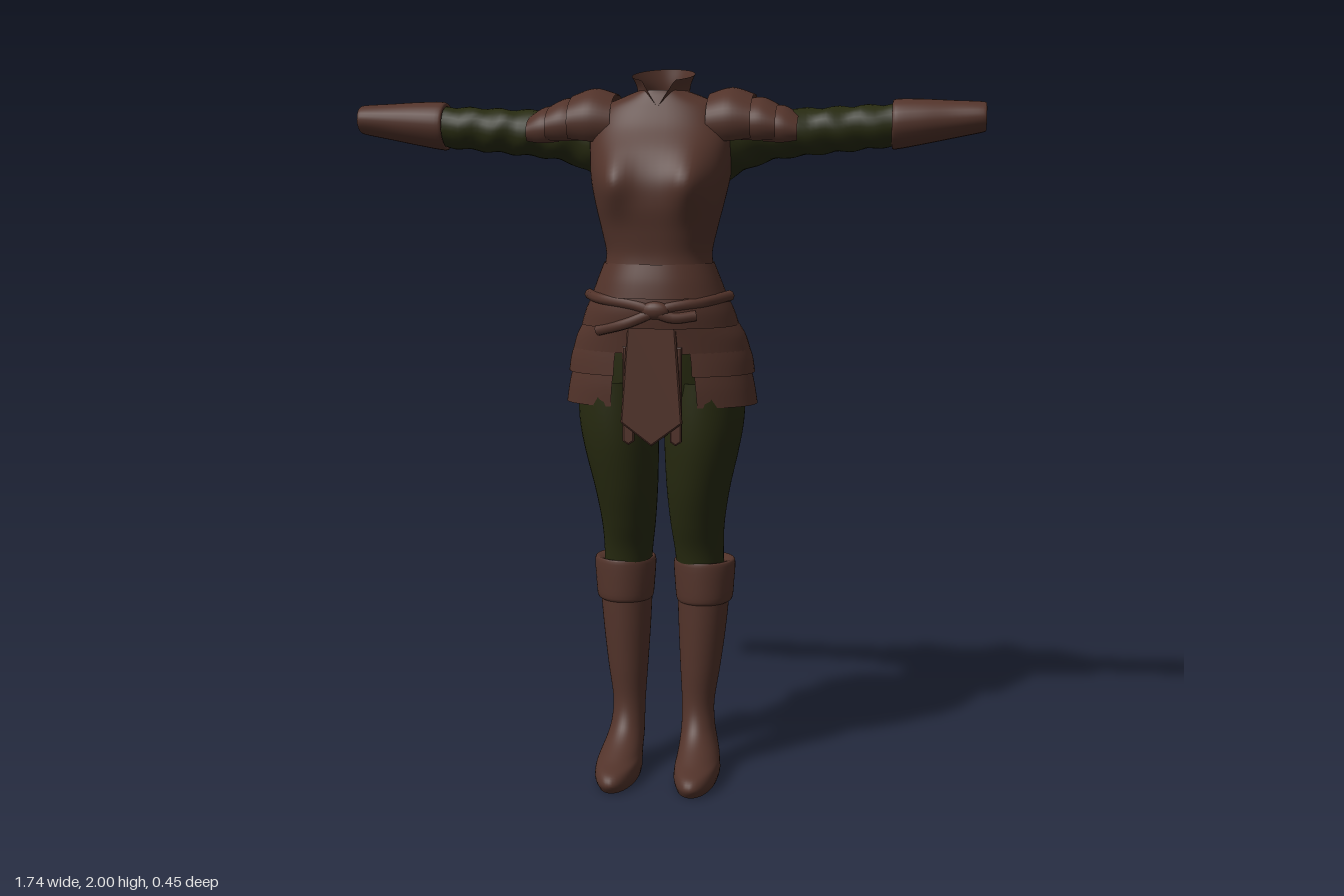
import * as THREE from 'three';

const leather = new THREE.MeshStandardMaterial({ color: 0x52332a, side: THREE.DoubleSide });
leather.name = 'brown leather';
const cloth = new THREE.MeshStandardMaterial({ color: 0x272a10, side: THREE.DoubleSide });
cloth.name = 'dark green cloth';

// Cross-section plane for each loft axis: (u, position, v) -> xyz
const ALONG = {
  x: (u, p, v) => [p, v, u],
  y: (u, p, v) => [u, p, v],
};

const curve = (a, b, c, d, t) =>
  0.5 * (2 * b + (c - a) * t + (2 * a - 5 * b + 4 * c - d) * t * t + (3 * b - a - 3 * c + d) * t * t * t);

// Smooth skin through rings [position, uMin, uMax, vMin, vMax]
function loft(rings, { axis = 'y', seg = 40, steps = 5, pow = 1, arc = null, warp = null, hole = null, capStart = false } = {}) {
  const pos = [], idx = [];
  const rows = (rings.length - 1) * steps + 1;
  const cols = arc ? seg + 1 : seg;
  const [a0, a1] = arc ? arc.map(THREE.MathUtils.degToRad) : [0, Math.PI * 2];
  const soft = (s) => Math.sign(s) * Math.abs(s) ** pow;
  const at = (i) => rings[Math.max(0, Math.min(rings.length - 1, i))];
  for (let r = 0; r < rows; r++) {
    const i = Math.min(Math.floor(r / steps), rings.length - 2);
    const t = r / steps - i;
    const [p, u0, u1, v0, v1] = at(i).map((_, k) => curve(at(i - 1)[k], at(i)[k], at(i + 1)[k], at(i + 2)[k], t));
    for (let c = 0; c < cols; c++) {
      const a = a0 + (a1 - a0) * c / seg;
      const q = ALONG[axis]((u0 + u1) / 2 + (u1 - u0) / 2 * soft(Math.cos(a)), p, (v0 + v1) / 2 + (v1 - v0) / 2 * soft(Math.sin(a)));
      pos.push(...(warp ? warp(...q) : q));
    }
  }
  for (let r = 0; r < rows - 1; r++) {
    for (let c = 0; c < seg; c++) {
      const a = r * cols + c, b = r * cols + (c + 1) % cols;
      if (hole && hole(pos[a * 3], pos[a * 3 + 1], pos[a * 3 + 2])) continue;
      idx.push(a, a + cols, b, b, a + cols, b + cols);
    }
  }
  if (capStart) {
    const base = pos.length / 3, [p, u0, u1, v0, v1] = rings[0];
    pos.push(...pos.slice(0, cols * 3), ...ALONG[axis]((u0 + u1) / 2, p, (v0 + v1) / 2));
    for (let c = 0; c < seg; c++) idx.push(base + c, base + (c + 1) % cols, base + cols);
  }
  const g = new THREE.BufferGeometry();
  g.setAttribute('position', new THREE.Float32BufferAttribute(pos, 3));
  g.setIndex(idx);
  g.computeVertexNormals();
  return g;
}

// Ring centred on x = 0: [y, halfWidth, back, front]
const centred = (rings) => rings.map(([y, w, b, f]) => [y, -w, w, b, f]);

// Hanging pointed strip, its top edge at (x, y, z)
function strip(topW, lowW, len, point, [x, y, z], tilt = 0, yaw = 0) {
  const s = new THREE.Shape([[-topW, 0], [-lowW, point - len], [0, -len], [lowW, point - len], [topW, 0]]
    .map(([px, py]) => new THREE.Vector2(px, py)));
  const g = new THREE.ExtrudeGeometry(s, { depth: 0.008, bevelEnabled: true, bevelSize: 0.004, bevelThickness: 0.003, bevelSegments: 1 });
  g.rotateX(tilt).rotateY(yaw).translate(x, y, z);
  return g;
}

function mirrored(g) {
  const m = (g.index ? g.toNonIndexed() : g.clone()).scale(-1, 1, 1);
  for (const name of ['position', 'normal']) {
    const a = m.attributes[name].array;
    for (let i = 0; i < a.length; i += 9) {
      for (let k = 0; k < 3; k++) [a[i + 3 + k], a[i + 6 + k]] = [a[i + 6 + k], a[i + 3 + k]];
    }
  }
  return m;
}

export function createModel() {
  const model = new THREE.Group();
  model.name = 'leatherArmourOutfit';
  const add = (name, geometry, material = leather) => {
    const mesh = new THREE.Mesh(geometry, material);
    mesh.name = name;
    model.add(mesh);
  };
  const both = (name, geometry, material = leather) => {
    add('left' + name, geometry, material);
    add('right' + name, mirrored(geometry), material);
  };

  // Breastplate, with open armholes and neck
  add('breastplate', loft(centred([
    [1.45, 0.150, -0.102, 0.182], [1.50, 0.143, -0.11, 0.178], [1.56, 0.155, -0.122, 0.185], [1.63, 0.172, -0.148, 0.195],
    [1.70, 0.187, -0.167, 0.190], [1.77, 0.195, -0.173, 0.158], [1.84, 0.198, -0.172, 0.105],
    [1.89, 0.175, -0.165, 0.075], [1.92, 0.11, -0.15, 0.06], [1.935, 0.07, -0.132, 0.055],
  ]), {
    seg: 72, steps: 6, pow: 0.8,
    warp: (x, y, z) => [x, y, z + (z > 0.02 ? 0.036 * Math.exp(-(((Math.abs(x) - 0.105) / 0.05) ** 2) - ((y - 1.69) / 0.075) ** 2) : 0)],
    hole: (x, y, z) => Math.abs(x) > 0.1 && Math.hypot(y - 1.85, z + 0.06) < 0.05,
  }));

  // Standing collar with a V notch, higher at the back
  add('collar', loft(centred([
    [1.86, 0.09, -0.150, 0.092], [1.91, 0.074, -0.138, 0.068], [1.945, 0.072, -0.134, 0.06], [1.98, 0.086, -0.138, 0.073],
  ]), {
    seg: 64,
    warp: (x, y, z) => {
      const t = (y - 1.86) / 0.12;
      const notch = z > 0 ? Math.max(0, 1 - Math.abs(x) / 0.045) : 0;
      return [x, y - t * (0.2 * (z + 0.035) + 0.07 * notch), z];
    },
  }));

  // Overlapping waist and hip bands
  [
    [[1.385, 0.185, -0.137, 0.205], [1.43, 0.168, -0.12, 0.197], [1.475, 0.150, -0.105, 0.184]],
    [[1.305, 0.217, -0.157, 0.198], [1.35, 0.202, -0.150, 0.204], [1.40, 0.176, -0.13, 0.198]],
    [[1.235, 0.247, -0.166, 0.165], [1.28, 0.232, -0.162, 0.172], [1.33, 0.2, -0.15, 0.182]],
  ].forEach((r, i) => add('hipBand' + (i + 1), loft(centred(r), { seg: 56, pow: 0.9 })));

  // Side skirt plates
  both('UpperSkirtPlate', loft(centred([[1.172, 0.26, -0.170, 0.165], [1.22, 0.252, -0.166, 0.165], [1.28, 0.228, -0.155, 0.165]]),
    { seg: 28, pow: 0.9, arc: [-64, 68] }));
  both('LowerSkirtPlate', loft(centred([[1.085, 0.268, -0.155, 0.145], [1.14, 0.259, -0.155, 0.150], [1.2, 0.245, -0.155, 0.15]]),
    { seg: 28, pow: 0.9, arc: [-60, 66] }));

  // Hanging front and back strips
  add('frontTabard', strip(0.06, 0.08, 0.335, 0.06, [0, 1.325, 0.166]));
  both('FrontStrap', strip(0.012, 0.012, 0.26, 0.008, [0.065, 1.25, 0.155]));
  add('backTabard', strip(0.045, 0.062, 0.30, 0.05, [0, 1.335, -0.162], 0.2));
  both('BackStrip', strip(0.035, 0.05, 0.24, 0.04, [0.135, 1.32, -0.15], 0.2, -0.4));

  // Knotted sash across the front
  const sash = (pts, r) => new THREE.TubeGeometry(new THREE.CatmullRomCurve3(pts.map((p) => new THREE.Vector3(...p))), 32, r, 8);
  add('sashUpper', sash([[-0.195, 1.385, 0.04], [-0.14, 1.38, 0.15], [-0.03, 1.365, 0.195], [0.06, 1.335, 0.196], [0.12, 1.34, 0.175]], 0.015));
  add('sashLower', sash([[0.195, 1.385, 0.04], [0.14, 1.375, 0.15], [0.04, 1.36, 0.195], [-0.06, 1.32, 0.192], [-0.15, 1.295, 0.15]], 0.015));
  add('sashKnot', new THREE.SphereGeometry(0.03, 16, 12).scale(1.3, 0.8, 0.6).translate(0.015, 1.355, 0.2));

  // Sleeves with soft wrinkles
  both('Sleeve', loft([
    [0.17, -0.15, 0.04, 1.69, 1.92], [0.22, -0.145, 0.03, 1.72, 1.91], [0.30, -0.137, 0.015, 1.75, 1.89], [0.42, -0.131, 0.006, 1.765, 1.89],
    [0.52, -0.125, 0, 1.775, 1.895], [0.66, -0.115, -0.005, 1.79, 1.9],
  ], {
    axis: 'x', seg: 28, steps: 8,
    warp: (x, y, z) => [x, y + 0.003 * Math.sin(x * 75 + z * 40), z + 0.003 * Math.sin(x * 60 + y * 30)],
  }), cloth);

  // Forearm guards, open at the wrist
  both('Bracer', loft([
    [0.622, -0.122, 0.008, 1.785, 1.9], [0.63, -0.127, 0.018, 1.778, 1.912], [0.70, -0.122, 0.015, 1.79, 1.912],
    [0.78, -0.114, 0.006, 1.806, 1.908], [0.86, -0.108, 0.002, 1.822, 1.904], [0.87, -0.1, -0.005, 1.828, 1.898],
  ], { axis: 'x', seg: 28 }));

  // Layered shoulder plates
  [
    [[0.13, -0.165, 0.08, 1.76, 1.93], [0.19, -0.178, 0.088, 1.755, 1.946], [0.25, -0.18, 0.08, 1.77, 1.928]],
    [[0.22, -0.165, 0.062, 1.77, 1.912], [0.27, -0.167, 0.068, 1.765, 1.92], [0.315, -0.16, 0.062, 1.775, 1.9]],
    [[0.28, -0.15, 0.05, 1.77, 1.895], [0.33, -0.15, 0.052, 1.765, 1.897], [0.372, -0.14, 0.042, 1.78, 1.872]],
  ].forEach((r, i) => both('ShoulderPlate' + (i + 1), loft(r, { axis: 'x', seg: 32, arc: [-32, 212] })));

  // Trousers
  add('trouserSeat', loft(centred([
    [0.99, 0.05, -0.07, 0.05], [1.02, 0.15, -0.11, 0.10], [1.10, 0.212, -0.135, 0.125], [1.2, 0.215, -0.14, 0.135], [1.28, 0.19, -0.13, 0.14],
  ])), cloth);
  both('TrouserLeg', loft([
    [0.58, 0.04, 0.172, -0.115, 0.02], [0.66, 0.032, 0.172, -0.112, 0.035], [0.74, 0.022, 0.176, -0.115, 0.065],
    [0.84, 0.014, 0.192, -0.12, 0.098], [0.95, 0.010, 0.217, -0.124, 0.122], [1.04, 0.008, 0.232, -0.13, 0.13], [1.15, 0.01, 0.235, -0.135, 0.13],
  ]), cloth);

  // Boots with a narrowed heel and flat sole
  both('Boot', loft([
    [0.005, 0.056, 0.168, -0.094, 0.208], [0.03, 0.05, 0.176, -0.098, 0.224], [0.055, 0.05, 0.175, -0.098, 0.205],
    [0.075, 0.052, 0.170, -0.098, 0.145], [0.11, 0.054, 0.158, -0.096, 0.075], [0.15, 0.055, 0.15, -0.092, 0.035],
    [0.21, 0.054, 0.148, -0.092, 0.017], [0.31, 0.048, 0.163, -0.112, 0.021], [0.42, 0.042, 0.177, -0.132, 0.024],
    [0.52, 0.038, 0.186, -0.14, 0.024], [0.6, 0.036, 0.188, -0.138, 0.024],
  ], {
    capStart: true,
    warp: (x, y, z) => [0.112 + (x - 0.112) * (y < 0.1 && z < 0.03 ? 1 - 0.2 * Math.min(1, (0.03 - z) / 0.08) * (0.1 - y) / 0.1 : 1), y, z],
  }));
  both('BootCuff', loft([
    [0.505, 0.038, 0.188, -0.142, 0.025], [0.515, 0.034, 0.196, -0.148, 0.032], [0.56, 0.030, 0.2, -0.149, 0.033],
    [0.615, 0.027, 0.203, -0.148, 0.032], [0.628, 0.034, 0.195, -0.14, 0.027], [0.62, 0.042, 0.172, -0.115, 0.015],
  ], { steps: 3 }));

  return model;
}
